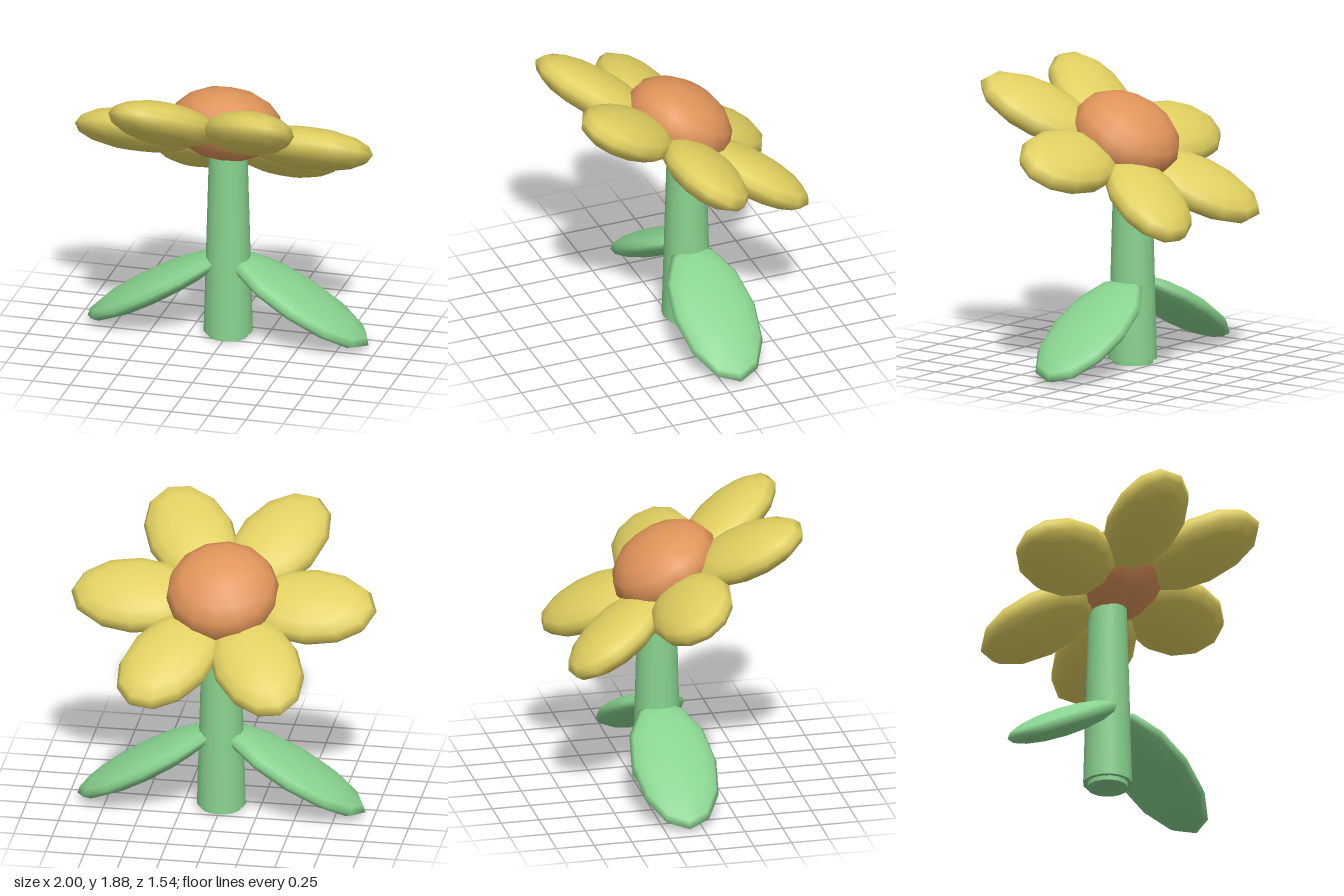
import * as THREE from 'three';

const mat = (name, color) => {
  const m = new THREE.MeshStandardMaterial({ color });
  m.name = name;
  return m;
};

// Smooth low-poly ellipsoid, thin along y
function ellipsoid(name, material, [rx, ry, rz], sides, turn = 0) {
  const geo = new THREE.SphereGeometry(1, sides, 8);
  geo.rotateY(turn);
  geo.scale(rx, ry, rz);
  const mesh = new THREE.Mesh(geo, material);
  mesh.name = name;
  return mesh;
}

export function createModel() {
  const yellow = mat('petal yellow', 0xe0cf60);
  const orange = mat('centre orange', 0xe0945a);
  const green = mat('leaf green', 0x88d28e);
  const model = new THREE.Group();
  model.name = 'flower';
  const tilt = Math.PI / 6;
  const stemZ = -0.1;

  // Tapered stem with a narrower foot
  const stem = new THREE.Mesh(new THREE.CylinderGeometry(0.122, 0.16, 1.37, 16), green);
  stem.name = 'stem';
  stem.position.set(0, 0.03 + 1.37 / 2, stemZ);
  const foot = new THREE.Mesh(new THREE.CylinderGeometry(0.133, 0.133, 0.1, 16), green);
  foot.name = 'stemFoot';
  foot.position.set(0, 0.05, stemZ);
  model.add(stem, foot);

  // Mirrored pair of drooping leaves
  for (const side of [1, -1]) {
    const leaf = ellipsoid(side > 0 ? 'leftLeaf' : 'rightLeaf', green, [0.531, 0.093, 0.28], 12);
    leaf.position.set(side * 0.483, 0.292, stemZ);
    leaf.rotation.z = -side * tilt;
    model.add(leaf);
  }

  // Flower head, leaning back
  const head = new THREE.Group();
  head.name = 'flowerHead';
  head.position.y = 1.405;
  head.rotation.x = -tilt;
  model.add(head);

  const centre = ellipsoid('flowerCentre', orange, [0.368, 0.24, 0.368], 14, Math.PI / 2);
  centre.position.y = 0.1;
  head.add(centre);

  // Ring of six petals
  for (let i = 0; i < 6; i++) {
    const arm = new THREE.Group();
    arm.name = 'petal' + (i + 1);
    arm.rotation.y = (i * Math.PI) / 3;
    const petal = ellipsoid('petalBlade', yellow, [0.43, 0.137, 0.284], 12);
    petal.position.x = 0.57;
    arm.add(petal);
    head.add(arm);
  }
  return model;
}
